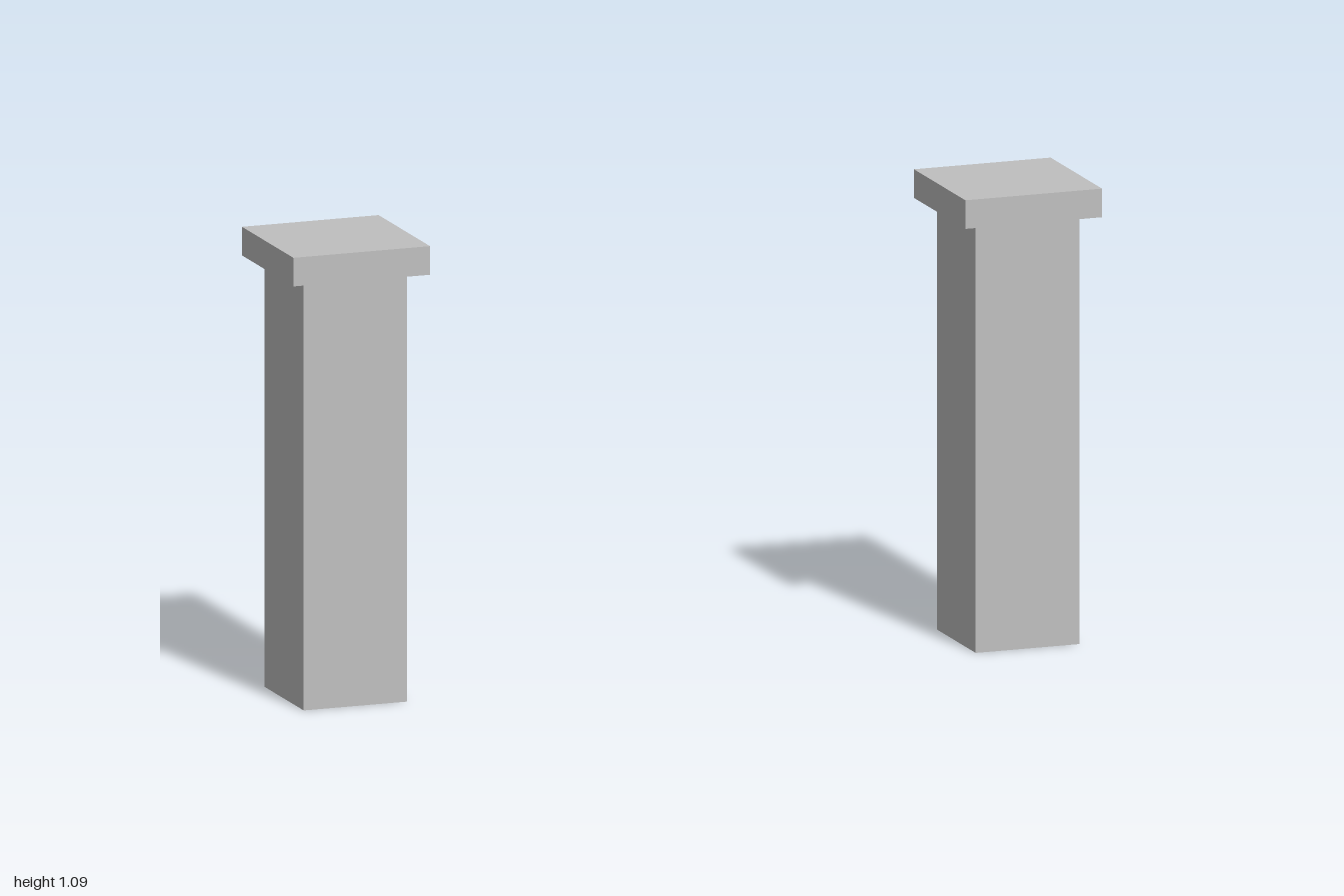
import * as THREE from 'three';

const CENTRE_X = 0.831;
const SHAFT = { width: 0.256, height: 1.02 };
const CAP = { width: 0.338, height: 0.068 };

// Square tube without end faces, standing on y = 0
function openShaft(width, height) {
  const geometry = new THREE.CylinderGeometry(width / Math.SQRT2, width / Math.SQRT2, height, 4, 1, true);
  return geometry.rotateY(Math.PI / 4).translate(0, height / 2, 0);
}

export function createModel() {
  const model = new THREE.Group();
  model.name = 'gatePosts';

  const stone = new THREE.MeshStandardMaterial({ color: 0xbfbfbf, flatShading: true, side: THREE.DoubleSide });
  stone.name = 'stone grey';

  const shaftGeometry = openShaft(SHAFT.width, SHAFT.height);
  const capGeometry = new THREE.BoxGeometry(CAP.width, CAP.height, CAP.width);

  for (const [side, sign] of [['left', 1], ['right', -1]]) {
    const post = new THREE.Group();
    post.name = side + 'Post';
    post.position.x = sign * CENTRE_X;

    // Hollow shaft, open at the foot
    const shaft = new THREE.Mesh(shaftGeometry, stone);
    shaft.name = side + 'Shaft';

    // Overhanging slab on top
    const cap = new THREE.Mesh(capGeometry, stone);
    cap.name = side + 'Cap';
    cap.position.y = SHAFT.height + CAP.height / 2;

    post.add(shaft, cap);
    model.add(post);
  }
  return model;
}
